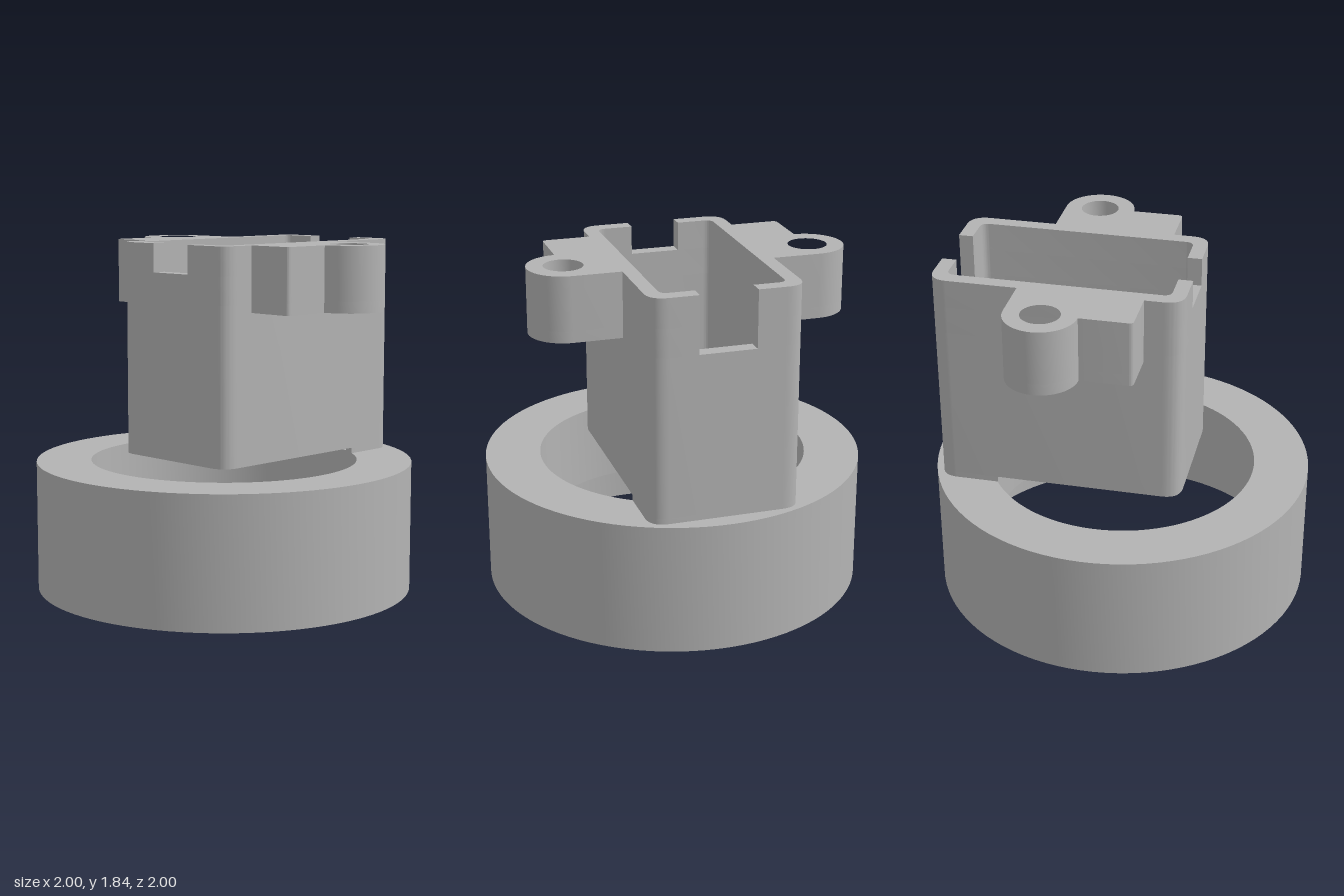
import * as THREE from 'three';
import { toCreasedNormals } from 'three/addons/utils/BufferGeometryUtils.js';

const grey = new THREE.MeshStandardMaterial({ color: 0xb3b3b3 });
grey.name = 'matte grey';

// Housing plan: outer and inner wall limits
const X0 = -0.385, X1 = 0.91, Z = 0.39, T = 0.075, R = 0.1, r = 0.045;

function add(group, name, geometry) {
  const mesh = new THREE.Mesh(toCreasedNormals(geometry, 0.6), grey);
  mesh.name = name;
  group.add(mesh);
}

// Extrude a plan shape upwards from y0 to y1
function prism(shape, y0, y1) {
  const g = new THREE.ExtrudeGeometry(shape, { depth: y1 - y0, bevelEnabled: false, curveSegments: 20 });
  return g.rotateX(-Math.PI / 2).translate(0, y0, 0);
}

// Half of the rectangular wall; s picks the side, a and b are notch half widths in the +x and -x walls
function halfWall(s, a, b) {
  const p = new THREE.Shape();
  p.moveTo(X1, s * a);
  p.lineTo(X1, s * (Z - R));
  p.quadraticCurveTo(X1, s * Z, X1 - R, s * Z);
  p.lineTo(X0 + R, s * Z);
  p.quadraticCurveTo(X0, s * Z, X0, s * (Z - R));
  p.lineTo(X0, s * b);
  p.lineTo(X0 + T, s * b);
  p.lineTo(X0 + T, s * (Z - T - r));
  p.quadraticCurveTo(X0 + T, s * (Z - T), X0 + T + r, s * (Z - T));
  p.lineTo(X1 - T - r, s * (Z - T));
  p.quadraticCurveTo(X1 - T, s * (Z - T), X1 - T, s * (Z - T - r));
  p.lineTo(X1 - T, s * a);
  p.closePath();
  return p;
}

// Half of the foot that joins the housing to the ring
function halfFoot(s) {
  const p = new THREE.Shape();
  p.moveTo(X1, 0);
  p.lineTo(X1, s * (Z - R));
  p.quadraticCurveTo(X1, s * Z, X1 - R, s * Z);
  p.lineTo(0.59, s * Z);
  p.lineTo(0.63, s * (Z - T));
  p.lineTo(X1 - T - r, s * (Z - T));
  p.quadraticCurveTo(X1 - T, s * (Z - T), X1 - T, s * (Z - T - r));
  p.lineTo(X1 - T, 0);
  p.closePath();
  return p;
}

// Screw ear with a rounded boss
function ear(s, withHole) {
  const cx = 0.265, cz = 0.64, rad = 0.185;
  const p = new THREE.Shape();
  p.moveTo(-0.19, s * Z);
  p.lineTo(-0.19, s * (cz - 0.025));
  p.quadraticCurveTo(-0.19, s * cz, -0.165, s * cz);
  p.lineTo(cx - rad, s * cz);
  p.absarc(cx, s * cz, rad, Math.PI, 0, s > 0);
  p.lineTo(cx + rad, s * Z);
  p.closePath();
  if (withHole) {
    const h = new THREE.Path();
    h.absarc(cx, s * cz, 0.1, 0, Math.PI * 2, true);
    p.holes.push(h);
  }
  return p;
}

export function createModel() {
  const model = new THREE.Group();
  model.name = 'ringMountedHousing';

  // Base ring with a wider recess underneath
  const profile = [[0.91, 0], [1, 0], [1, 0.685], [0.71, 0.685], [0.71, 0.25], [0.91, 0.25], [0.91, 0]]
    .map(([x, y]) => new THREE.Vector2(x, y));
  add(model, 'baseRing', new THREE.LatheGeometry(profile, 96));

  for (const s of [1, -1]) {
    // Walls in layers, so each end notch starts at its own height
    const housing = new THREE.Group();
    housing.name = 'housingHalf';
    add(housing, 'foot', prism(halfFoot(s), 0.68, 0.715));
    add(housing, 'lowerWall', prism(halfWall(s, 0, 0), 0.715, 1.545));
    add(housing, 'middleWall', prism(halfWall(s, 0.145, 0), 1.545, 1.69));
    add(housing, 'upperWall', prism(halfWall(s, 0.145, 0.128), 1.69, 1.84));
    model.add(housing);

    // Ears with blind screw holes
    const mount = new THREE.Group();
    mount.name = 'screwEar';
    add(mount, 'earFloor', prism(ear(s, false), 1.5, 1.56));
    add(mount, 'earBody', prism(ear(s, true), 1.56, 1.84));
    model.add(mount);
  }
  return model;
}
